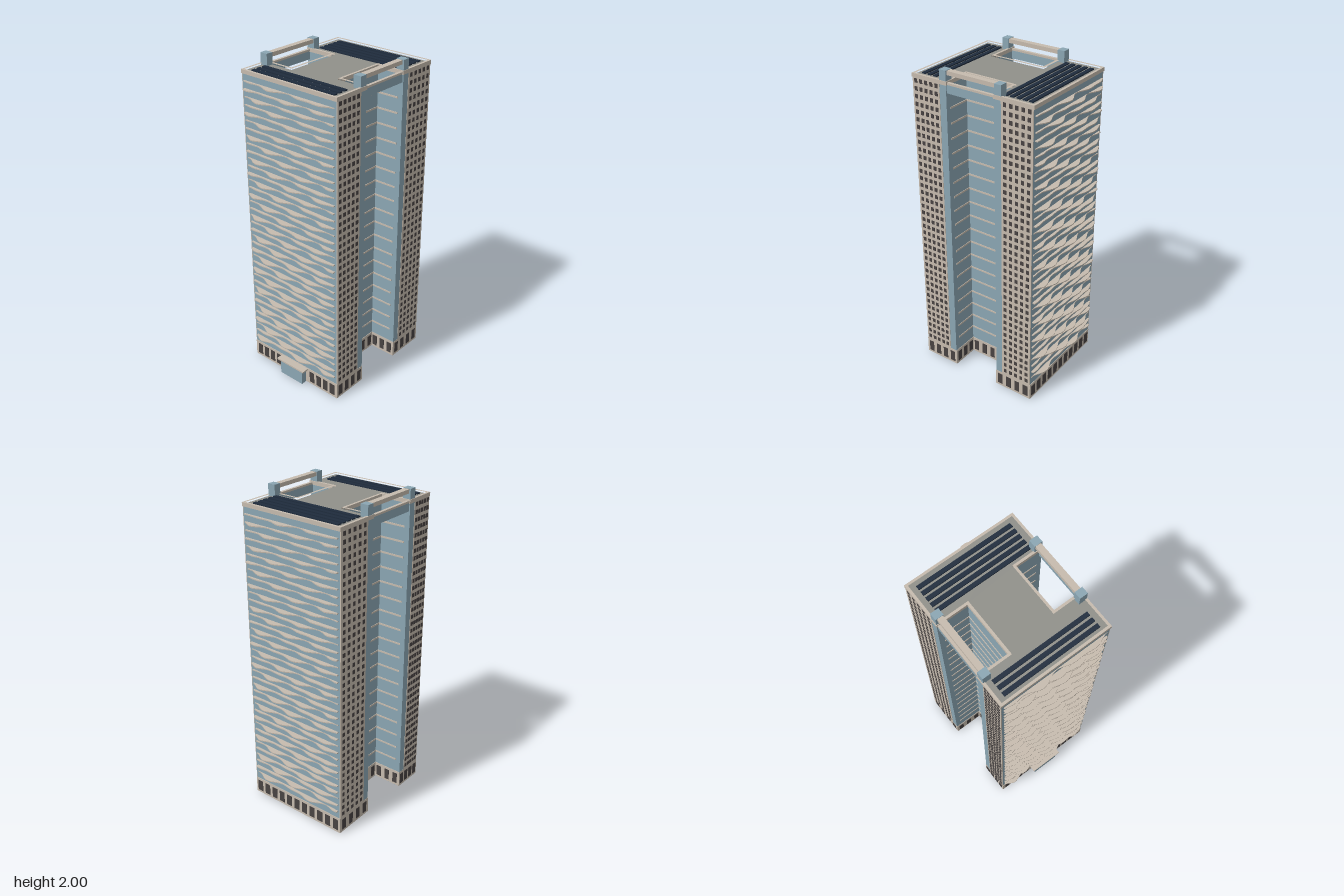
import * as THREE from 'three';
import { mergeGeometries } from 'three/addons/utils/BufferGeometryUtils.js';

const mat = (name, color) => {
  const m = new THREE.MeshStandardMaterial({ color });
  m.name = name;
  return m;
};

// half width, half depth, floor spacing
const W = 0.343, D = 0.403, FLOOR = 0.0464, BASE = 0.11, TOP = 1.92;
// recess in each long side: side sign, back wall, rear and front jambs
const RECESSES = [
  { s: 1, wall: 0.168, z0: -0.153, z1: 0.168 },
  { s: -1, wall: 0.15, z0: -0.13, z1: 0.213 },
];

// H-shaped plan, grown outward by e
function outline(e, Type = THREE.Shape) {
  const [r, l] = RECESSES;
  const w = W + e, d = D + e;
  const pts = [
    [-w, -d], [w, -d],
    [w, r.z0 + e], [r.wall + e, r.z0 + e], [r.wall + e, r.z1 - e], [w, r.z1 - e],
    [w, d], [-w, d],
    [-w, l.z1 - e], [-l.wall - e, l.z1 - e], [-l.wall - e, l.z0 + e], [-w, l.z0 + e],
  ];
  return new Type(pts.map(([x, z]) => new THREE.Vector2(x, -z)));
}

function slab(shape, y0, y1) {
  const g = new THREE.ExtrudeGeometry(shape, { depth: y1 - y0, bevelEnabled: false });
  return g.rotateX(-Math.PI / 2).translate(0, y0, 0);
}

const box = (w, h, d, x, y, z) => new THREE.BoxGeometry(w, h, d).translate(x, y, z);

// thin plate on a wall whose outward normal is turned by angle about y
const plate = (w, h, x, y, z, angle) =>
  new THREE.BoxGeometry(w, h, 0.006).rotateY(angle).translate(x, y, z);

// n evenly spaced positions between a and b
const spread = (a, b, n) => Array.from({ length: n }, (_, i) => a + ((i + 0.5) * (b - a)) / n);

// wavy ledge projecting from the front face
function ledge(k) {
  const s = new THREE.Shape();
  const n = 40, L = 0.33;
  s.moveTo(-L, -0.01);
  for (let i = 0; i <= n; i++) {
    const t = i / n;
    const wave = 0.6 * Math.sin(t * 14 + k * 2.3) + 0.4 * Math.sin(t * 23 - k * 1.7);
    const ends = Math.min(1, 0.45 + 6 * Math.min(t, 1 - t));
    s.lineTo(-L + 2 * L * t, (0.02 + 0.02 * wave) * ends + 0.001);
  }
  s.lineTo(L, -0.01);
  const g = new THREE.ExtrudeGeometry(s, { depth: 0.006, bevelEnabled: false });
  return g.rotateX(Math.PI / 2).translate(0, 0, D);
}

export function createModel() {
  const concrete = mat('concrete', 0xc6bbae);
  const glass = mat('glass', 0x8ba6b3);
  const darkGlass = mat('window', 0x484342);
  const deck = mat('roofDeck', 0x90908a);
  const solar = mat('solarPanel', 0x1f2c3d);

  const root = new THREE.Group();
  root.name = 'tower';
  const tower = new THREE.Group();
  tower.name = 'building';
  tower.rotation.y = THREE.MathUtils.degToRad(-30.5);
  root.add(tower);
  const add = (name, geo, material) => {
    const m = new THREE.Mesh(Array.isArray(geo) ? mergeGeometries(geo) : geo, material);
    m.name = name;
    tower.add(m);
  };
  const Q = Math.PI / 2;

  // main volumes
  add('groundFloor', slab(outline(0.003), 0.003, BASE), concrete);
  add('lobbyUnderside', box(2 * W, 0.003, 0.19, 0, 0.0015, D - 0.095), glass);
  add('glassShaft', slab(outline(0), BASE, TOP), glass);
  add('roofDeck', slab(outline(-0.004), TOP, 1.93), deck);
  const rim = outline(0.005);
  rim.holes.push(outline(-0.01, THREE.Path));
  add('parapet', slab(rim, 1.917, 1.94), concrete);

  // concrete end walls with small windows, and recess details
  const walls = [], windows = [], baseWindows = [], bands = [], columns = [], beams = [], headers = [];
  for (const { s, wall, z0, z1 } of RECESSES) {
    const a = s * Q, x = s * (W + 0.001);
    for (const [from, to] of [[z1 + 0.045, D], [-D, z0 - 0.045]]) {
      const mid = (from + to) / 2;
      walls.push(plate(to - from, TOP - BASE, x, (TOP + BASE) / 2, mid, a));
      for (const z of spread(from + 0.005, to - 0.005, 5)) {
        for (let k = 0; k < 39; k++) {
          windows.push(plate(0.02, 0.025, x + s * 0.002, 0.138 + k * FLOOR, z, a));
        }
      }
    }
    // tall ground-floor windows
    const tall = (px, z, ang) => baseWindows.push(plate(0.034, 0.074, px, 0.056, z, ang));
    for (const z of [...spread(z1, D, 4), ...spread(-D, z0, 4)]) tall(s * (W + 0.002), z, a);
    for (const z of spread(z0, z1, 5)) tall(s * (wall + 0.002), z, a);
    for (const px of spread(wall, W, 3)) {
      tall(s * px, z0 + 0.002, 0);
      tall(s * px, z1 - 0.002, Math.PI);
    }
    // floor bands on the three recess walls
    const mid = (z0 + z1) / 2, len = z1 - z0, dep = W - wall - 0.03;
    for (let k = 0; k < 18; k++) {
      const y = 0.2 + k * FLOOR * 2;
      bands.push(plate(len, 0.011, s * wall, y, mid, a));
      bands.push(plate(dep, 0.011, s * (wall + dep / 2), y, z0, 0));
      bands.push(plate(dep, 0.011, s * (wall + dep / 2), y, z1, 0));
    }
    // corner columns, roof beam and header
    for (const z of [z0 - 0.0225, z1 + 0.0225]) {
      columns.push(box(0.05, 2 - BASE, 0.045, s * 0.32, (2 + BASE) / 2, z));
    }
    beams.push(box(0.036, 0.024, len, s * 0.317, 1.985, mid));
    beams.push(box(0.018, 0.012, len, s * 0.333, 1.927, mid));
    headers.push(box(0.012, 0.05, len, s * 0.333, 1.896, mid));
  }

  // ground-floor windows on the front and back
  for (const x of [...spread(-0.335, -0.115, 4), ...spread(0.115, 0.335, 4)]) {
    baseWindows.push(plate(0.036, 0.074, x, 0.056, D + 0.002, 0));
  }
  for (const x of spread(-W, W, 11)) {
    baseWindows.push(plate(0.04, 0.074, x, 0.056, -D - 0.002, Math.PI));
  }
  add('endWalls', walls, concrete);
  add('smallWindows', windows, darkGlass);
  add('groundFloorWindows', baseWindows, darkGlass);
  add('recessBands', bands, concrete);
  add('cornerColumns', columns, glass);
  add('roofBeams', beams, concrete);
  add('recessHeaders', headers, glass);

  // wavy ledges on front and back
  const ledges = [];
  for (let k = 0; k < 38; k++) {
    const y = 0.163 + k * FLOOR;
    ledges.push(ledge(k).translate(0, y, 0));
    ledges.push(ledge(k + 5).rotateY(Math.PI).translate(0, y, 0));
  }
  add('wavyLedges', ledges, concrete);

  // entrance
  add('entranceLobby', box(0.18, 0.098, 0.05, 0, 0.049, D + 0.015), glass);
  add('entranceCanopy', box(0.22, 0.01, 0.06, 0, 0.103, D + 0.02), concrete);

  // rows of solar panels
  const rows = [-0.356, -0.316, -0.276, -0.236, -0.196, 0.281, 0.321, 0.361];
  add('solarPanels', rows.map((z) => box(0.602, 0.008, 0.025, 0, 1.933, z)), solar);

  return root;
}
